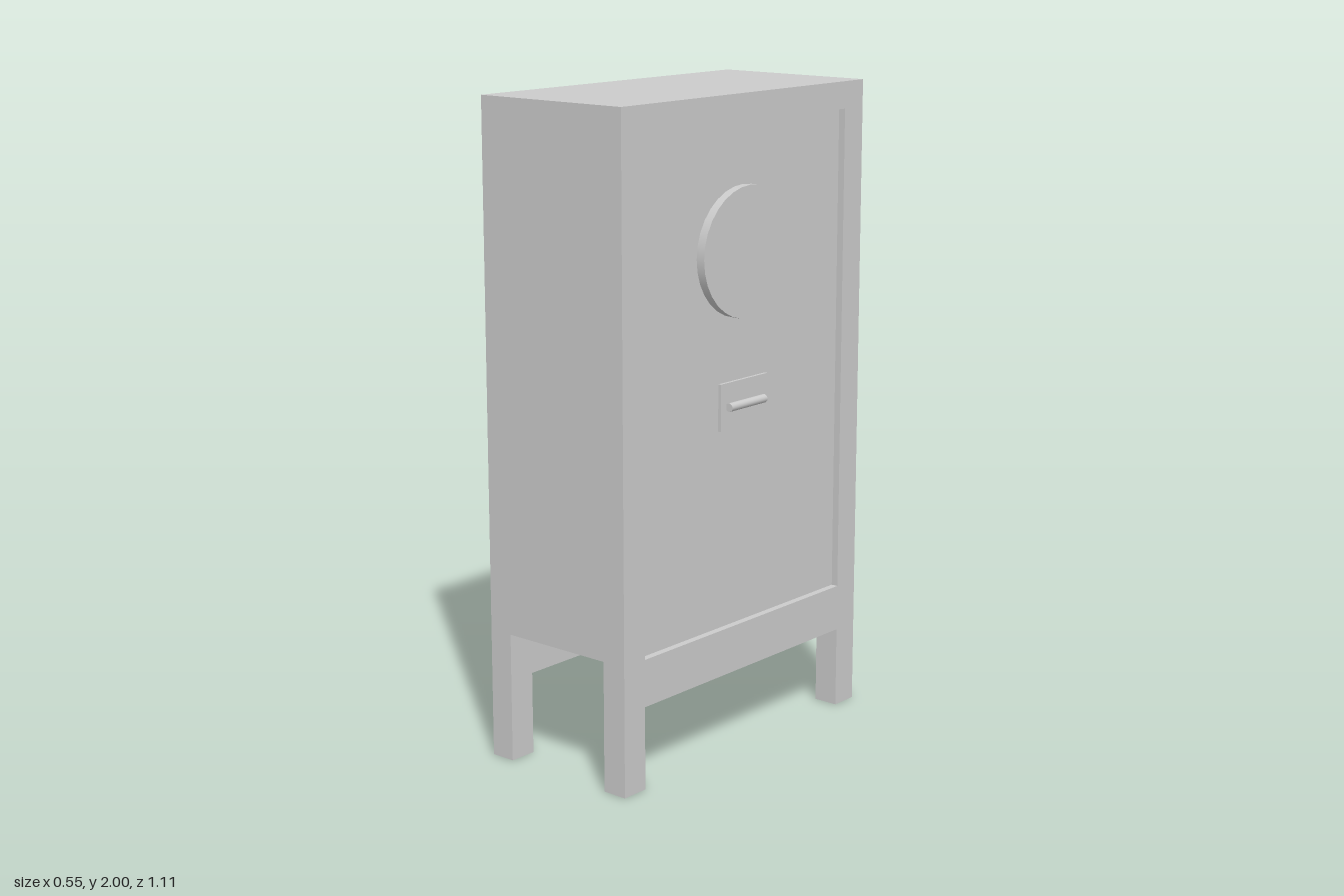
import * as THREE from 'three';

const BACK = -0.273, FRONT = 0.262, HALF = 0.555, LEG = 0.08, DOOR = 0.24;
const material = new THREE.MeshStandardMaterial({ color: 0xcccccc });

export function createModel() {
  const group = new THREE.Group();

  const add = (name, geometry, x = 0, y = 0, z = 0) => {
    const mesh = new THREE.Mesh(geometry, material);
    mesh.name = name;
    mesh.position.set(x, y, z);
    group.add(mesh);
    return mesh;
  };

  // Box given by its x range, y range and half width in z
  const slab = (name, x0, x1, y0, y1, halfZ) =>
    add(name, new THREE.BoxGeometry(x1 - x0, y1 - y0, halfZ * 2), (x0 + x1) / 2, (y0 + y1) / 2);

  // Upright panel with two legs and a low rail, optionally with a door opening
  const leggedPanel = (name, x, opening) => {
    const inner = 0.465;
    const points = [
      [-HALF, 0], [-inner, 0], [-inner, 0.255], [inner, 0.255],
      [inner, 0], [HALF, 0], [HALF, 2], [-HALF, 2],
    ].map(([z, y]) => new THREE.Vector2(z, y));
    const shape = new THREE.Shape(points);
    if (opening) {
      shape.holes.push(new THREE.Path([
        [-inner, 0.4], [-inner, 1.917], [inner, 1.917], [inner, 0.4],
      ].map(([z, y]) => new THREE.Vector2(z, y))));
    }
    const geometry = new THREE.ExtrudeGeometry(shape, { depth: LEG, bevelEnabled: false });
    geometry.rotateY(Math.PI / 2);
    add(name, geometry, x);
  };

  // Cabinet carcass
  leggedPanel('backPanelWithLegs', BACK, false);
  leggedPanel('frontFrameWithLegs', FRONT - LEG, true);
  slab('cabinetBody', BACK + LEG, FRONT - LEG, 0.4, 2, HALF);

  // Recessed door
  slab('door', FRONT - LEG, DOOR, 0.4, 1.917, 0.465);

  // Slightly oval dial on the door
  const dial = new THREE.CylinderGeometry(1, 1, 0.028, 32);
  dial.rotateZ(-Math.PI / 2);
  dial.scale(1, 0.197, 0.209);
  add('dial', dial, DOOR + 0.014, 1.536, 0);

  // Handle plate and round bar
  slab('handlePlate', DOOR, 0.25, 1.01, 1.153, 0.109);
  const bar = new THREE.CylinderGeometry(0.013, 0.013, 0.166, 16);
  bar.rotateX(Math.PI / 2);
  add('handleBar', bar, 0.26, 1.081, 0);

  return group;
}
